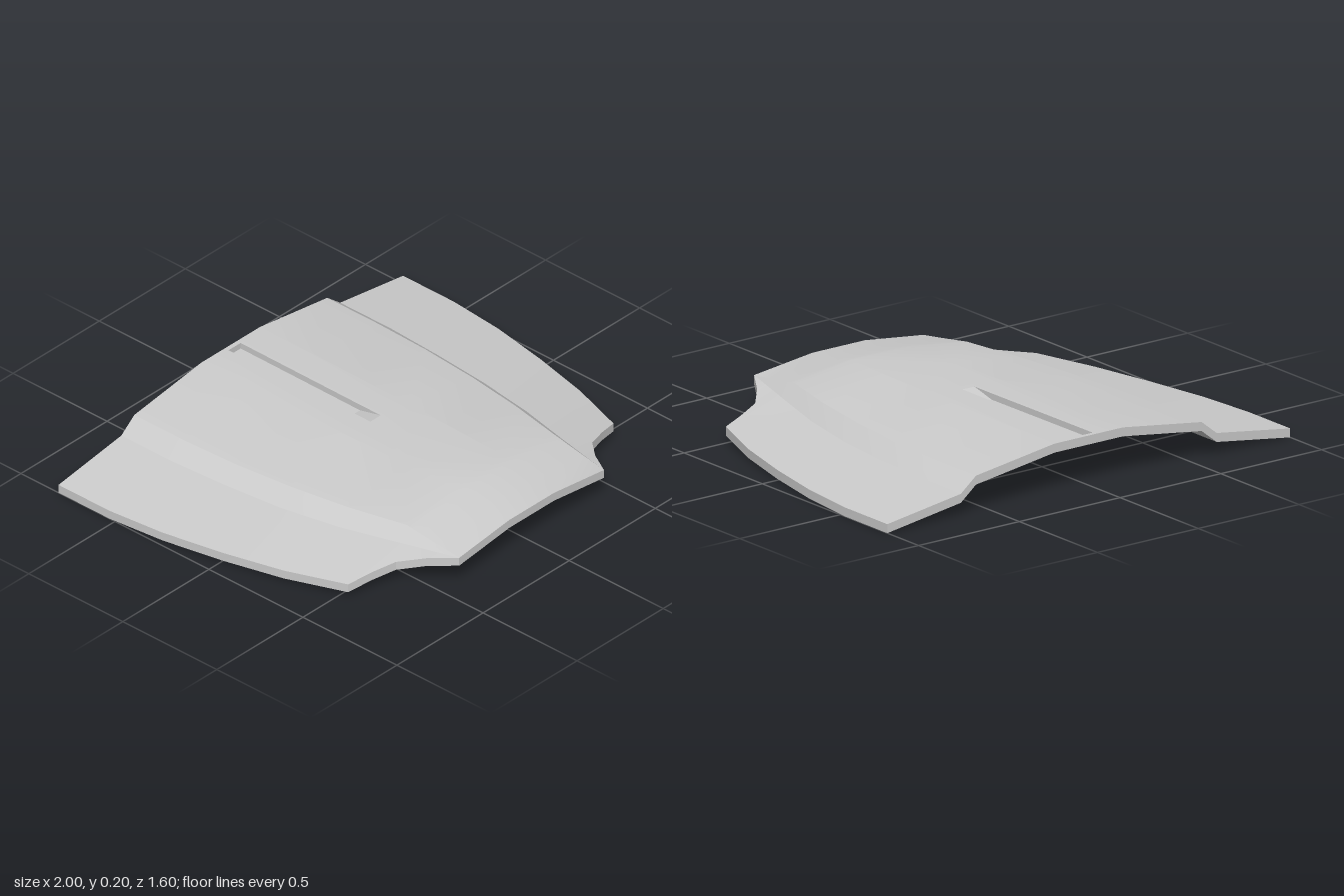
import * as THREE from 'three';
import { toCreasedNormals } from 'three/addons/utils/BufferGeometryUtils.js';

const THICK = 0.037;   // vertical thickness of the sheet
const TOP = 0.205;     // height of the flat crown
const FLAT_ROWS = 6;   // rows over which the crown stays level

// Half cross-sections from back to front:
// z, crown height, crown half-width, crease top x y, crease foot x y, rim x y
const SECTIONS = [
  [-0.80, TOP, 0.17, 0.56, 0.150, 0.635, 0.090, 1.00, 0.037],
  [-0.53, TOP, 0.17, 0.56, 0.150, 0.635, 0.090, 1.00, 0.037],
  [-0.27, TOP, 0.168, 0.55, 0.152, 0.62, 0.091, 0.975, 0.039],
  [0.00, TOP, 0.163, 0.525, 0.156, 0.595, 0.094, 0.925, 0.042],
  [0.27, TOP, 0.155, 0.485, 0.161, 0.55, 0.102, 0.86, 0.047],
  [0.53, TOP, 0.145, 0.43, 0.168, 0.485, 0.114, 0.77, 0.055],
  [0.56, 0.201, 0.143, 0.429, 0.164, 0.478, 0.116, 0.67, 0.075],
  [0.60, 0.195, 0.141, 0.427, 0.158, 0.468, 0.118, 0.57, 0.094],
  [0.69, 0.181, 0.137, 0.424, 0.145, 0.446, 0.123, 0.49, 0.113],
  [0.80, 0.165, 0.13, 0.42, 0.130, 0.42, 0.130, 0.42, 0.130],
];

const vec = (x, y, z) => new THREE.Vector3(x, y, z);
const drop = (p, d = THICK) => vec(p.x, p.y - d, p.z);

// Collects triangles, leaving out collapsed ones
class Skin {
  constructor() { this.data = []; }
  tri(a, b, c) {
    if (new THREE.Triangle(a, b, c).getArea() < 1e-7) return;
    for (const p of [a, b, c]) this.data.push(p.x, p.y, p.z);
  }
  // a, b on the back row; c, d below them on the front row
  quad(a, b, c, d) { this.tri(a, c, b); this.tri(b, c, d); }
  mesh(name, material) {
    const g = new THREE.BufferGeometry();
    g.setAttribute('position', new THREE.Float32BufferAttribute(this.data, 3));
    const m = new THREE.Mesh(toCreasedNormals(g, 0.2), material);
    m.name = name;
    return m;
  }
}

export function createModel() {
  const group = new THREE.Group();
  group.name = 'curvedPanel';
  const material = new THREE.MeshStandardMaterial({ color: 0xcccccc });

  // Mirrored rows of points across the panel
  const rows = SECTIONS.map(([z, yc, x1, x2, y2, x3, y3, xe, ye]) => {
    const half = [[x1, yc], [x2, y2], [x3, y3], [xe, ye]];
    return [
      ...half.map(([x, y]) => vec(-x, y, z)).reverse(),
      ...half.map(([x, y]) => vec(x, y, z)),
    ];
  });
  const last = rows.length - 1, cols = rows[0].length;

  // Upper and lower sheets; the level crown on top is added with its slot
  const panel = new Skin();
  for (let r = 0; r < last; r++) {
    for (let c = 0; c < cols - 1; c++) {
      const [a, b, d, e] = [rows[r][c], rows[r][c + 1], rows[r + 1][c], rows[r + 1][c + 1]];
      const crown = c === 3 && r < FLAT_ROWS - 1;
      if (!crown) panel.quad(a, b, d, e);
      panel.quad(drop(b), drop(a), drop(e), drop(d));
    }
  }

  // Rim wall all the way round
  const rim = [
    ...rows[0],
    ...rows.slice(1, last).map((row) => row[cols - 1]),
    ...[...rows[last]].reverse(),
    ...rows.slice(1, last).map((row) => row[0]).reverse(),
  ];
  rim.forEach((p, i) => {
    const q = rim[(i + 1) % rim.length];
    panel.quad(q, p, drop(q), drop(p));
  });

  // Slot outline (x, z, depth): level floor, then a ramp up at the front
  const D = 0.026;
  const slot = [
    [-0.035, -0.78, D], [0.035, -0.78, D], [0.03, -0.14, D],
    [0.03, -0.03, 0], [-0.03, -0.03, 0], [-0.03, -0.14, D],
  ];

  // Level crown with the slot cut out
  const flat = rows.slice(0, FLAT_ROWS);
  const outline = [...flat.map((r) => r[3]), ...flat.map((r) => r[4]).reverse()];
  const shape = new THREE.Shape(outline.map((p) => new THREE.Vector2(p.x, -p.z)));
  shape.holes.push(new THREE.Path(slot.map(([x, z]) => new THREE.Vector2(x, -z))));
  const crownGeo = new THREE.ShapeGeometry(shape).rotateX(-Math.PI / 2)
    .translate(0, TOP, 0).toNonIndexed();
  panel.data.push(...crownGeo.attributes.position.array);
  group.add(panel.mesh('panel', material));

  // Slot walls and floor
  const recess = new Skin();
  const lip = slot.map(([x, z]) => vec(x, TOP, z));
  const bed = slot.map(([x, z, d]) => vec(x, TOP - d, z));
  lip.forEach((p, i) => {
    const j = (i + 1) % lip.length;
    recess.quad(p, lip[j], bed[i], bed[j]);
  });
  recess.quad(bed[0], bed[1], bed[5], bed[2]);
  recess.quad(bed[5], bed[2], bed[4], bed[3]);
  group.add(recess.mesh('slotRecess', material));

  return group;
}
